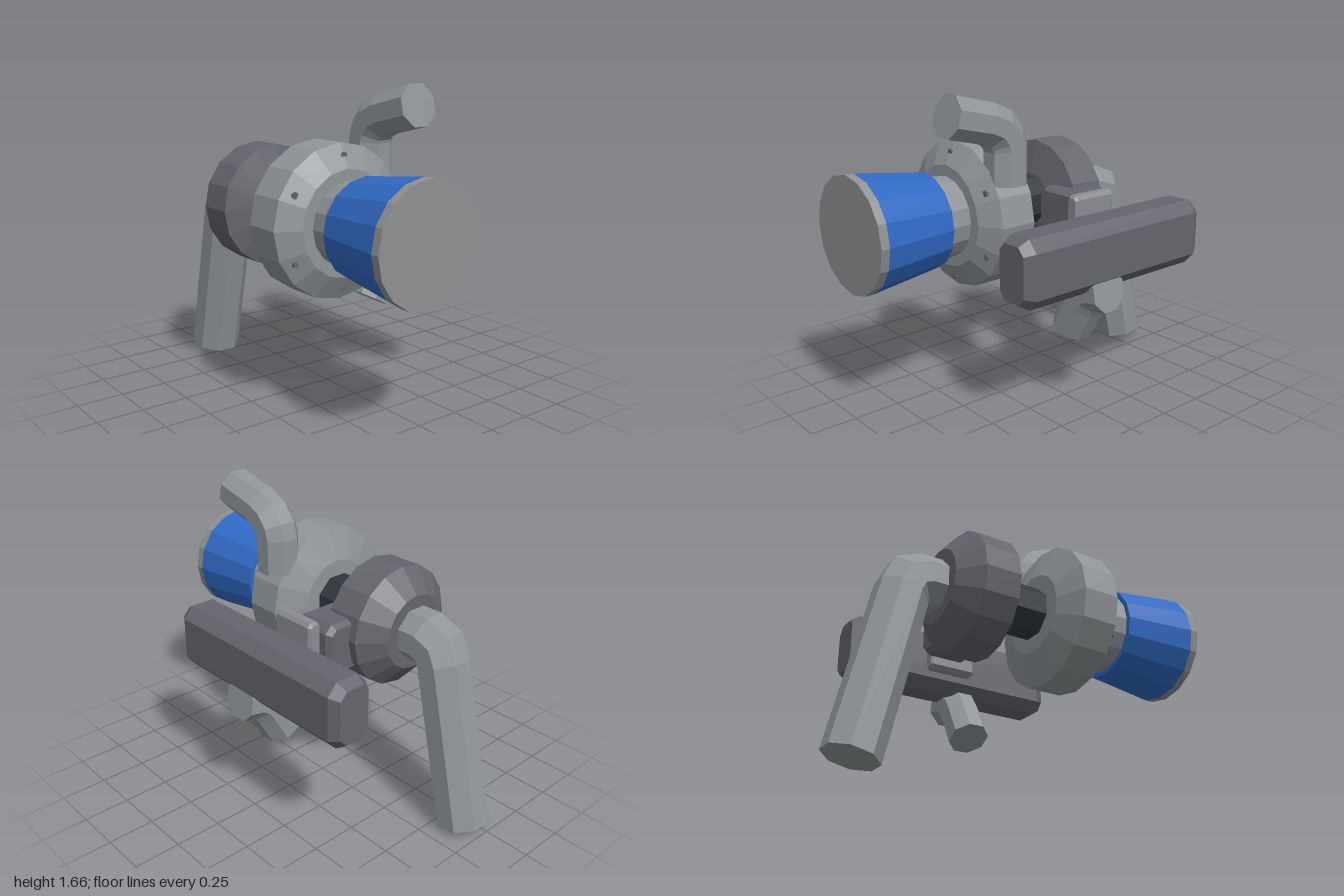
import * as THREE from 'three';

const mat = (name, color) => {
  const m = new THREE.MeshStandardMaterial({ color });
  m.name = name;
  return m;
};

// Faceted look: every face keeps its own normal
function flat(geometry) {
  const g = geometry.index ? geometry.toNonIndexed() : geometry;
  g.computeVertexNormals();
  return g;
}

// Turned part along z from [radius, z] pairs, back to front
function turned(profile, sides) {
  const g = new THREE.LatheGeometry(profile.map(([r, z]) => new THREE.Vector2(r, z)), sides);
  return flat(g.rotateX(Math.PI / 2));
}

// Mitred eight-sided pipe along a planar path; binormal is the normal of that plane
function pipe(path, halfWidth, binormal) {
  const N = 8, radius = halfWidth / Math.cos(Math.PI / N);
  const pts = path.map(p => new THREE.Vector3(...p));
  const b = new THREE.Vector3(...binormal);
  const dirs = pts.slice(1).map((p, i) => p.clone().sub(pts[i]).normalize());
  const rings = pts.map((p, i) => {
    const d0 = dirs[Math.max(i - 1, 0)], d1 = dirs[Math.min(i, dirs.length - 1)];
    const t = d0.clone().add(d1).normalize();
    const n = b.clone().cross(t).multiplyScalar(1 / t.dot(d0));
    return Array.from({ length: N }, (_, k) => {
      const a = (k + 0.5) / N * Math.PI * 2;
      return p.clone().addScaledVector(n, radius * Math.cos(a)).addScaledVector(b, radius * Math.sin(a));
    });
  });
  const tris = [], last = rings.length - 1;
  for (let k = 0; k < N; k++) {
    const m = (k + 1) % N;
    for (let i = 0; i < last; i++) {
      const r = rings[i], s = rings[i + 1];
      tris.push(r[k], r[m], s[m], r[k], s[m], s[k]);
    }
    tris.push(pts[0], rings[0][m], rings[0][k], pts[last], rings[last][k], rings[last][m]);
  }
  return flat(new THREE.BufferGeometry().setFromPoints(tris));
}

// Box with cut corners and bevelled ends, given by its limits
function chamferBox([x0, x1], [y0, y1], [z0, z1], cx, cy, bevel, depth) {
  const s = new THREE.Shape([
    [x0 + cx, y0], [x1 - cx, y0], [x1, y0 + cy], [x1, y1 - cy],
    [x1 - cx, y1], [x0 + cx, y1], [x0, y1 - cy], [x0, y0 + cy],
  ].map(p => new THREE.Vector2(...p)));
  const g = new THREE.ExtrudeGeometry(s, {
    depth: z1 - z0 - 2 * depth, bevelEnabled: true, bevelSegments: 1,
    bevelThickness: depth, bevelSize: bevel, bevelOffset: -bevel,
  });
  return flat(g.translate(0, 0, z0 + depth));
}

export function createModel() {
  const model = new THREE.Group();
  model.name = 'turbocharger';
  const lightMetal = mat('light metal', 0x8f9598);
  const darkMetal = mat('dark metal', 0x65656d);
  const plateMetal = mat('plate metal', 0x8b8c92);
  const blueHose = mat('blue hose', 0x306ac4);
  const shaftMetal = mat('shaft metal', 0x30393e);
  const capMetal = mat('cap metal', 0x8e9092);

  const add = (name, geometry, material, parent = model) => {
    const mesh = new THREE.Mesh(geometry, material);
    mesh.name = name;
    parent.add(mesh);
    return mesh;
  };

  // Turned parts share one axis
  const core = new THREE.Group();
  core.name = 'core';
  core.position.set(-0.2, 0.993, 0);
  model.add(core);

  add('compressorHousing', turned(
    [[0, 0.1], [0.22, 0.1], [0.39, 0.165], [0.39, 0.365], [0.27, 0.43], [0, 0.43]], 16), lightMetal, core);
  add('inletNeck', turned([[0.21, 0.42], [0.225, 0.57]], 16), lightMetal, core);
  add('inletHose', turned([[0, 0.56], [0.25, 0.56], [0.3, 0.955]], 16), blueHose, core);
  add('inletCap', turned([[0, 0.955], [0.3, 0.955], [0.3, 1], [0, 1]], 16), capMetal, core);
  add('turbineHousing', turned(
    [[0, -0.48], [0.2, -0.48], [0.325, -0.375], [0.325, -0.18], [0.15, -0.138], [0, -0.138]], 16), darkMetal, core);

  // Eight-sided shaft housing between the two wheels
  add('shaftHousing', pipe([[0, 0, -0.16], [0, 0, 0.12]], 0.13, [1, 0, 0]), shaftMetal, core);

  // Six bolts around the front of the compressor
  for (let i = 0; i < 6; i++) {
    const a = Math.PI / 6 + i * Math.PI / 3;
    const bolt = add('housingBolt', flat(new THREE.CylinderGeometry(0.018, 0.018, 0.03, 6).rotateX(Math.PI / 2)), darkMetal, core);
    bolt.position.set(0.33 * Math.cos(a), 0.33 * Math.sin(a), 0.385);
  }

  // Pipes
  add('exhaustPipe', pipe([
    [-0.2, 0.993, -0.46], [-0.2, 0.993, -0.57], [-0.2, 0.965, -0.64],
    [-0.2, 0.896, -0.673], [-0.2, 0.03, -0.873],
  ], 0.13, [1, 0, 0]), lightMetal);
  add('outletPipe', pipe([
    [0.08, 1.19, 0.26], [0.08, 1.37, 0.26], [0.08, 1.42, 0.273],
    [0.08, 1.475, 0.318], [0.08, 1.508, 0.39], [0.08, 1.56, 0.607],
  ], 0.104, [1, 0, 0]), lightMetal);
  add('drainElbow', pipe([
    [0.303, 0.425, 0], [0.39, 0.583, 0], [0.43, 0.637, 0], [0.48, 0.67, 0], [0.565, 0.685, 0],
  ], 0.102, [0, 0, 1]), lightMetal);

  // Side block, bracket plate and long manifold
  add('mountBlock', chamferBox([-0.06, 0.255], [0.82, 1.1], [-0.33, -0.08], 0.04, 0.04, 0.02, 0.03), darkMetal);
  add('bracketPlate', chamferBox([0.25, 0.325], [0.775, 1.12], [-0.265, 0], 0.018, 0.02, 0.012, 0.015), plateMetal);
  add('manifold', chamferBox([0.32, 0.56], [0.685, 1.035], [-0.7, 0.52], 0.055, 0.06, 0.033, 0.053), darkMetal);

  return model;
}
